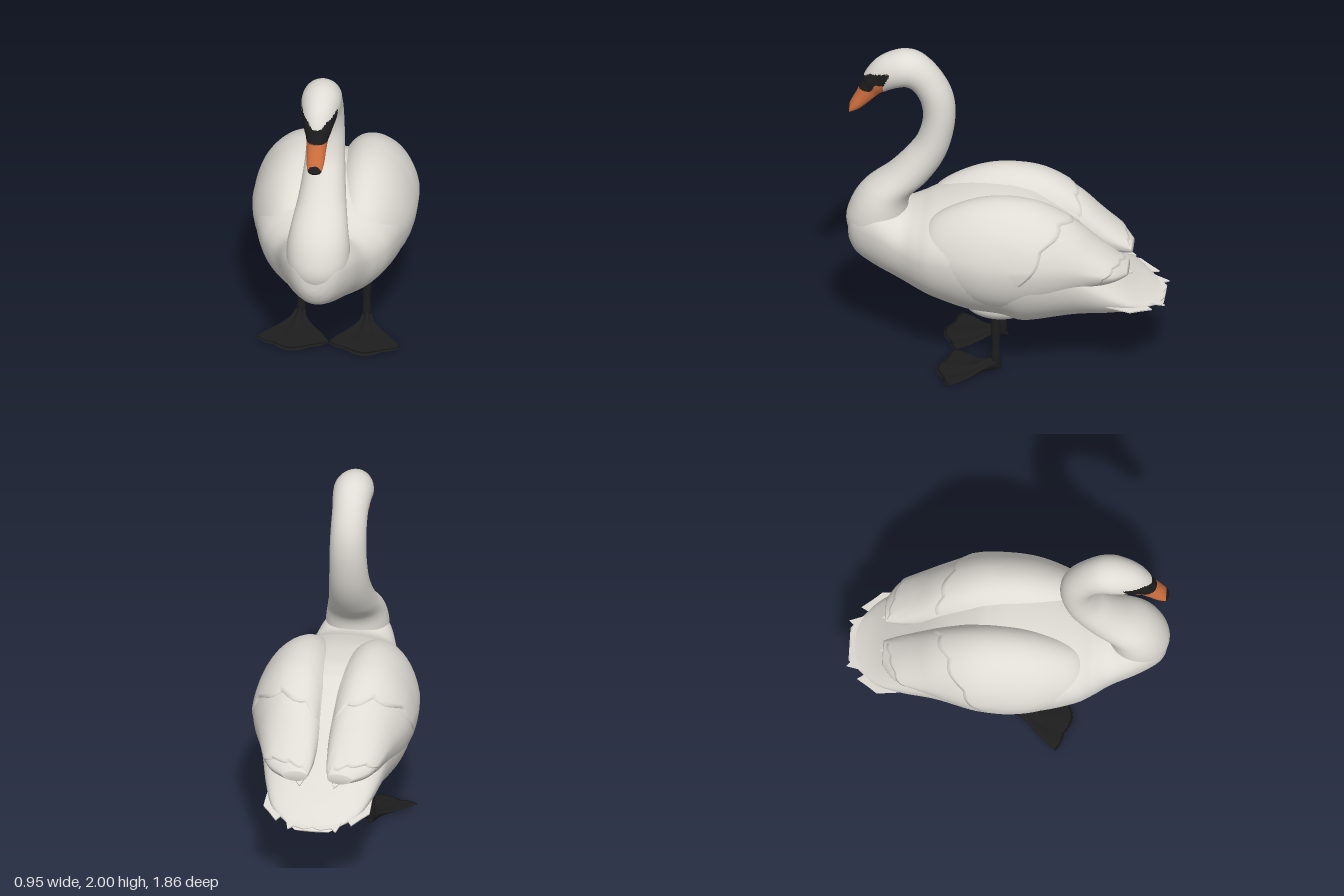
import * as THREE from 'three';

const mat = (name, color, side = THREE.FrontSide) => {
  const m = new THREE.MeshStandardMaterial({ color, side });
  m.name = name;
  return m;
};

// Catmull-Rom sampler through a table of section rows, t in 0..1
function sampler(rows) {
  const curves = rows[0].map((_, c) => new THREE.SplineCurve(rows.map((r, i) => new THREE.Vector2(i, r[c]))));
  return t => curves.map(c => c.getPoint(t).y);
}

// Rings of [x, y, z] points -> capped smooth skin; pick(centre, column) chooses a material slot
function loft(rings, pick = () => 0) {
  const n = rings[0].length, pos = rings.flat(2), tris = [];
  const P = i => new THREE.Vector3().fromArray(pos, i * 3);
  for (let r = 0; r < rings.length - 1; r++) for (let c = 0; c < n; c++) {
    const a = r * n + c, b = r * n + (c + 1) % n;
    tris.push([a, b, a + n, c], [b, b + n, a + n, c]);
  }
  [0, rings.length - 1].forEach((r, end) => {
    const mid = [0, 1, 2].map(k => rings[r].reduce((s, p) => s + p[k], 0) / n);
    const m = pos.push(...mid) / 3 - 1;
    for (let c = 0; c < n; c++) {
      const a = r * n + c, b = r * n + (c + 1) % n;
      tris.push(end ? [a, b, m, c] : [b, a, m, c]);
    }
  });
  let volume = 0;
  const slots = [];
  for (const [a, b, c, col] of tris) {
    const A = P(a), B = P(b), C = P(c);
    volume += A.dot(B.clone().cross(C));
    const s = pick(A.add(B).add(C).divideScalar(3), col / n);
    (slots[s] ||= []).push([a, b, c]);
  }
  const g = new THREE.BufferGeometry(), index = [];
  slots.forEach((list, s) => {
    g.addGroup(index.length, list.length * 3, s);
    list.forEach(([a, b, c]) => index.push(...(volume > 0 ? [a, b, c] : [a, c, b])));
  });
  g.setAttribute('position', new THREE.Float32BufferAttribute(pos, 3));
  g.setIndex(index);
  g.computeVertexNormals();
  return g;
}

const range = (n, f) => Array.from({ length: n }, (_, i) => f(i));
const ring = (n, f) => range(n, i => f(i / n * Math.PI * 2));
const lerp = THREE.MathUtils.lerp;
const signedPow = (v, e) => Math.sign(v) * Math.abs(v) ** e;

export function createModel() {
  const swan = new THREE.Group();
  swan.name = 'swan';
  const white = mat('white plumage', 0xdfdcd5, THREE.DoubleSide);
  const black = mat('black skin', 0x1d1d1d);
  const orange = mat('orange bill', 0xcf6f3e);
  const add = (name, geo, material, parent = swan) => {
    const m = new THREE.Mesh(geo, material);
    m.name = name;
    parent.add(m);
    return m;
  };

  // Torso: z, half width, bottom, top; full shoulders above the widest line
  const torso = sampler([
    [0.918, 0.03, 0.78, 0.86], [0.905, 0.09, 0.725, 0.95], [0.86, 0.145, 0.655, 1.02], [0.75, 0.208, 0.585, 1.04],
    [0.6, 0.265, 0.515, 0.985], [0.5, 0.33, 0.47, 1.0], [0.4, 0.385, 0.43, 1.04], [0.2, 0.44, 0.37, 1.09],
    [0, 0.458, 0.345, 1.1], [-0.1, 0.455, 0.315, 1.085], [-0.2, 0.44, 0.325, 1.05], [-0.4, 0.375, 0.365, 0.92],
    [-0.6, 0.32, 0.395, 0.72], [-0.75, 0.26, 0.43, 0.575], [-0.85, 0.17, 0.45, 0.505], [-0.92, 0.1, 0.458, 0.47]]);
  add('torso', loft(range(81, i => {
    const [z, w, b, t] = torso(i / 80), mid = lerp(b, t, 0.6);
    return ring(56, a => {
      const s = Math.sin(a);
      return [w * signedPow(Math.cos(a), s > 0 ? 0.9 : 1), mid + s * (s > 0 ? t - mid : mid - b), z];
    });
  })), white);

  // Neck, head and bill: throat z, y, nape z, y, half width
  const neck = sampler([
    [0.86, 0.70, 0.60, 0.70, 0.14], [0.928, 0.86, 0.55, 0.85, 0.18], [0.905, 0.99, 0.57, 0.965, 0.182],
    [0.83, 1.11, 0.55, 1.06, 0.165], [0.69, 1.23, 0.455, 1.16, 0.14], [0.59, 1.34, 0.37, 1.29, 0.123],
    [0.52, 1.44, 0.32, 1.43, 0.113], [0.485, 1.57, 0.297, 1.6, 0.107], [0.50, 1.68, 0.32, 1.75, 0.104],
    [0.54, 1.75, 0.40, 1.89, 0.104], [0.58, 1.775, 0.50, 1.98, 0.112], [0.62, 1.77, 0.60, 2.0, 0.115],
    [0.66, 1.755, 0.70, 1.97, 0.104], [0.69, 1.74, 0.77, 1.92, 0.09], [0.715, 1.725, 0.82, 1.85, 0.077],
    [0.74, 1.705, 0.838, 1.80, 0.064], [0.79, 1.66, 0.865, 1.73, 0.056], [0.85, 1.61, 0.90, 1.66, 0.05],
    [0.90, 1.588, 0.922, 1.61, 0.038], [0.915, 1.583, 0.928, 1.598, 0.018]]);
  const plumage = ({ y, z }, u) => {
    const brow = z < 0.79 ? lerp(1.895, 1.865, (z - 0.67) / 0.12) : lerp(1.865, 1.83, (z - 0.79) / 0.04);
    const rear = y > 1.8 ? 0.71 - (y - 1.8) * 0.45 : 0.71;
    if (y < 1.57 || z < rear || y > brow) return 0;
    const billTop = z < 0.755 ? 1.805 : Math.max(1.75, 1.805 - (z - 0.755) * 1.8);
    const underside = Math.cos((u + 0.01) * Math.PI * 2) < -0.8;
    return y > billTop || underside || z > 0.91 ? 1 : 2;
  };
  add('neckHeadAndBill', loft(range(229, i => {
    const [zf, yf, zb, yb, w] = neck(i / 228);
    return ring(56, a => {
      const k = (1 + Math.cos(a)) / 2;
      return [w * Math.sin(a), lerp(yf, yb, k), lerp(zf, zb, k)];
    });
  }), plumage), [white, black, orange]);

  // Folded wing: z, inner x, outer x, bottom, top
  const wing = sampler([
    [0.5, 0.15, 0.25, 0.75, 0.88], [0.4, 0.08, 0.365, 0.62, 1.02], [0.2, 0.03, 0.448, 0.52, 1.125],
    [0, 0.01, 0.476, 0.48, 1.16], [-0.2, 0.01, 0.46, 0.51, 1.13], [-0.4, 0.025, 0.398, 0.575, 1.02],
    [-0.55, 0.035, 0.345, 0.63, 0.885], [-0.65, 0.045, 0.295, 0.66, 0.795], [-0.72, 0.06, 0.2, 0.675, 0.735]]);
  const wingPoint = (side, t, a, grow = 0) => {
    const [z, xi, xo, b, top] = wing(t), s = Math.sin(a);
    const x = (xi + xo) / 2 + ((xo - xi) / 2 + grow) * Math.cos(a) - 0.1 * (xo - xi) * Math.max(0, s);
    return [side * x, (b + top) / 2 + ((top - b) / 2 + grow) * s, z];
  };
  // Feather layer rising out of the wing towards a scalloped rear edge
  const layer = (side, t0, a0, a1, thick, tEnd) => loft(range(26, i => {
    const k = Math.min(1, i / 24);
    const skin = (f, g) => wingPoint(side, lerp(t0, tEnd(f), k), lerp(a0, a1, f), g);
    const rise = f => i === 25 ? -0.015 : -0.015 + (thick + 0.015) * Math.sin(Math.PI * f) ** 0.3 * k;
    return [...range(61, j => skin(j / 60, rise(j / 60))), ...range(61, j => skin(1 - j / 60, -0.02))];
  }));

  // Thin feather plate drawn as x and distance to the rear
  const plate = (name, pts, pos, tilt, parent) => {
    const g = new THREE.ExtrudeGeometry(new THREE.Shape(pts.map(p => new THREE.Vector2(...p))),
      { depth: 0.008, bevelEnabled: false });
    g.rotateX(-Math.PI / 2).rotateX(tilt);
    add(name, g, white, parent).position.set(...pos);
  };

  // Foot: z, half width, bottom, top
  const foot = sampler([
    [0.015, 0.012, 0.03, 0.05], [0.05, 0.03, 0.02, 0.1], [0.1, 0.05, 0.014, 0.075],
    [0.16, 0.105, 0.01, 0.045], [0.22, 0.165, 0.008, 0.032], [0.285, 0.212, 0.004, 0.02]]);
  const legProfile = [[0.001, 0.03], [0.03, 0.05], [0.025, 0.12], [0.022, 0.2], [0.027, 0.25],
    [0.031, 0.29], [0.025, 0.34], [0.028, 0.42]].map(p => new THREE.Vector2(...p));

  for (const side of [1, -1]) {
    const label = side > 0 ? 'left' : 'right';
    const w = new THREE.Group();
    w.name = label + 'Wing';
    swan.add(w);
    add('wingBody', loft(range(61, i => ring(40, a => wingPoint(side, i / 60, a)))), white, w);
    add('coverts', layer(side, 0.2, 2.6, -0.4, 0.012,
      f => 0.63 - 0.2 * f * f + 0.02 * Math.abs(Math.sin(f * 13))), white, w);
    add('secondaries', layer(side, 0.4, 2.7, -0.9, 0.01,
      f => 0.95 - 0.25 * f * f + 0.02 * Math.abs(Math.sin(f * 16))), white, w);
    plate('primaryTips', [[0.06, 0], [0.3, 0], [0.26, 0.09], [0.2, 0.13], [0.17, 0.12], [0.1, 0.22], [0.07, 0.14]]
      .map(([x, d]) => [side * x, d]), [0, 0.72, -0.53], -0.32, w);
    plate(label + 'TailFeathers', [[0.05, 0], [0.26, 0], [0.305, 0.1], [0.31, 0.25], [0.27, 0.3], [0.22, 0.37],
      [0.19, 0.32], [0.1, 0.33]].map(([x, d]) => [side * x, d]), [0, 0.555, -0.5], -0.2);

    // Eye
    add(label + 'Eye', new THREE.SphereGeometry(0.012, 16, 12), black).position.set(side * 0.086, 1.875, 0.705);

    // Thigh
    const thigh = add(label + 'Thigh', new THREE.SphereGeometry(1, 32, 20), white);
    thigh.scale.set(0.1, 0.09, 0.19);
    thigh.position.set(side * 0.17, 0.445, 0.03);

    // Leg with webbed foot and hind toe
    const leg = new THREE.Group();
    leg.name = label + 'Leg';
    leg.position.set(side * 0.19, 0, 0.045);
    swan.add(leg);
    add('shank', new THREE.LatheGeometry(legProfile, 20), black, leg);
    add('webbedFoot', loft(range(25, i => {
      const s = i / 24, [z, hw, b, t] = foot(s);
      return ring(48, a => {
        const u = Math.cos(a), toes = Math.abs(Math.cos(u * Math.PI));
        const ridge = 0.75 + 0.25 * toes;
        return [hw * u + side * 0.02 * s, b + 0.012 * u * u * s + (t - b) * (0.5 + 0.5 * Math.sin(a)) * ridge,
          z - 0.045 + s * s * (0.09 * (1 - u * u) + 0.025 * toes - 0.015)];
      });
    })), black, leg);
    const toe = add('hindToe', new THREE.ConeGeometry(0.016, 0.09, 12), black, leg);
    toe.rotation.x = Math.PI + 0.35;
    toe.position.set(0, 0.058, -0.022);
  }

  // Central tail fan
  const half = [[0.17, 0], [0.17, 0.33], [0.14, 0.44], [0.11, 0.41], [0.05, 0.43], [0, 0.415]];
  plate('tailFan', [...half, ...half.slice(0, -1).reverse().map(([x, d]) => [-x, d])], [0, 0.565, -0.5], -0.225);
  return swan;
}
